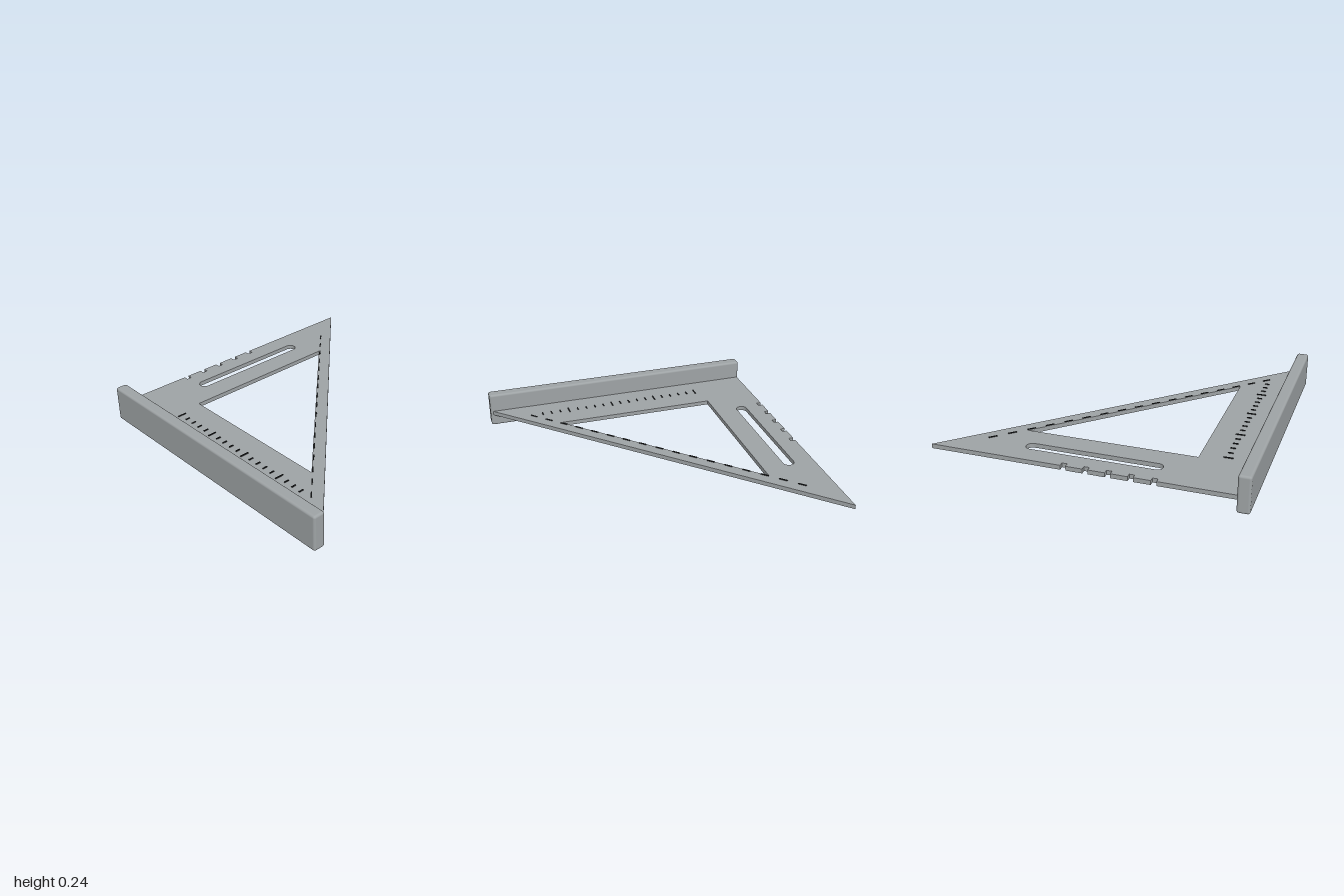
import * as THREE from 'three';
import { RoundedBoxGeometry } from 'three/addons/geometries/RoundedBoxGeometry.js';

const PLATE_BOTTOM = 0.083, PLATE_TOP = 0.112;

// Path from [x, z] points, laid out so that rotateX(-PI/2) puts it on the ground plane
const trace = (path, points) => {
  path.setFromPoints(points.map(([x, z]) => new THREE.Vector2(x, -z)));
  return path;
};

export function createModel() {
  const metal = new THREE.MeshStandardMaterial({ color: 0x9ea3a5 });
  metal.name = 'grey metal';
  const ink = new THREE.MeshStandardMaterial({ color: 0x1e2022 });
  ink.name = 'dark marking';

  const model = new THREE.Group();
  model.name = 'triangleSquare';
  const add = (name, geometry, material, parent = model) => {
    const mesh = new THREE.Mesh(geometry, material);
    mesh.name = name;
    parent.add(mesh);
    return mesh;
  };

  // Triangular plate with scribing notches along its left edge
  const left = -0.965;
  const outline = [[left, -1]];
  for (let i = 0; i < 5; i++) {
    const z = -0.127 + i * 0.1405;
    outline.push([left, z - 0.017], [left + 0.032, z - 0.017], [left + 0.032, z + 0.017], [left, z + 0.017]);
  }
  outline.push([left, 0.925], [0.96, 0.925]);
  const shape = trace(new THREE.Shape(), outline);

  // Triangular window and long rounded slot
  shape.holes.push(trace(new THREE.Path(), [[-0.6, -0.52], [0.52, 0.6], [-0.6, 0.6]]));
  const slot = new THREE.Path();
  const slotX = -0.793, slotR = 0.038, slotEnd = 0.402;
  slot.absarc(slotX, slotEnd, slotR, 0, Math.PI);
  slot.absarc(slotX, -slotEnd, slotR, Math.PI, Math.PI * 2);
  slot.closePath();
  shape.holes.push(slot);

  const plate = new THREE.ExtrudeGeometry(shape, {
    depth: PLATE_TOP - PLATE_BOTTOM, bevelEnabled: false, curveSegments: 12,
  });
  plate.rotateX(-Math.PI / 2).translate(0, PLATE_BOTTOM, 0);
  add('plate', plate, metal);

  // Fence with softened edges
  add('fence', new RoundedBoxGeometry(1.946, 0.24, 0.08, 3, 0.015), metal).position.set(0, 0.12, 0.96);

  // Ruler marks, every fifth one longer
  const ruler = new THREE.Group();
  ruler.name = 'rulerMarks';
  model.add(ruler);
  for (let i = 0; i < 19; i++) {
    const major = i % 5 === 0;
    const mark = add('rulerMark', new THREE.BoxGeometry(0.008, 0.006, major ? 0.06 : 0.032), ink, ruler);
    mark.position.set(-0.555 + i * 0.0651, PLATE_TOP + 0.002, 0.772);
  }

  // Dashes parallel to the slanted edge
  const dashes = new THREE.Group();
  dashes.name = 'angleDashes';
  model.add(dashes);
  for (let i = 0; i < 17; i++) {
    const x = -0.757 + i * 0.0901;
    const dash = add('angleDash', new THREE.BoxGeometry(0.055, 0.006, 0.008), ink, dashes);
    dash.position.set(x, PLATE_TOP + 0.002, x + 0.07);
    dash.rotation.y = -Math.PI / 4;
  }

  return model;
}
